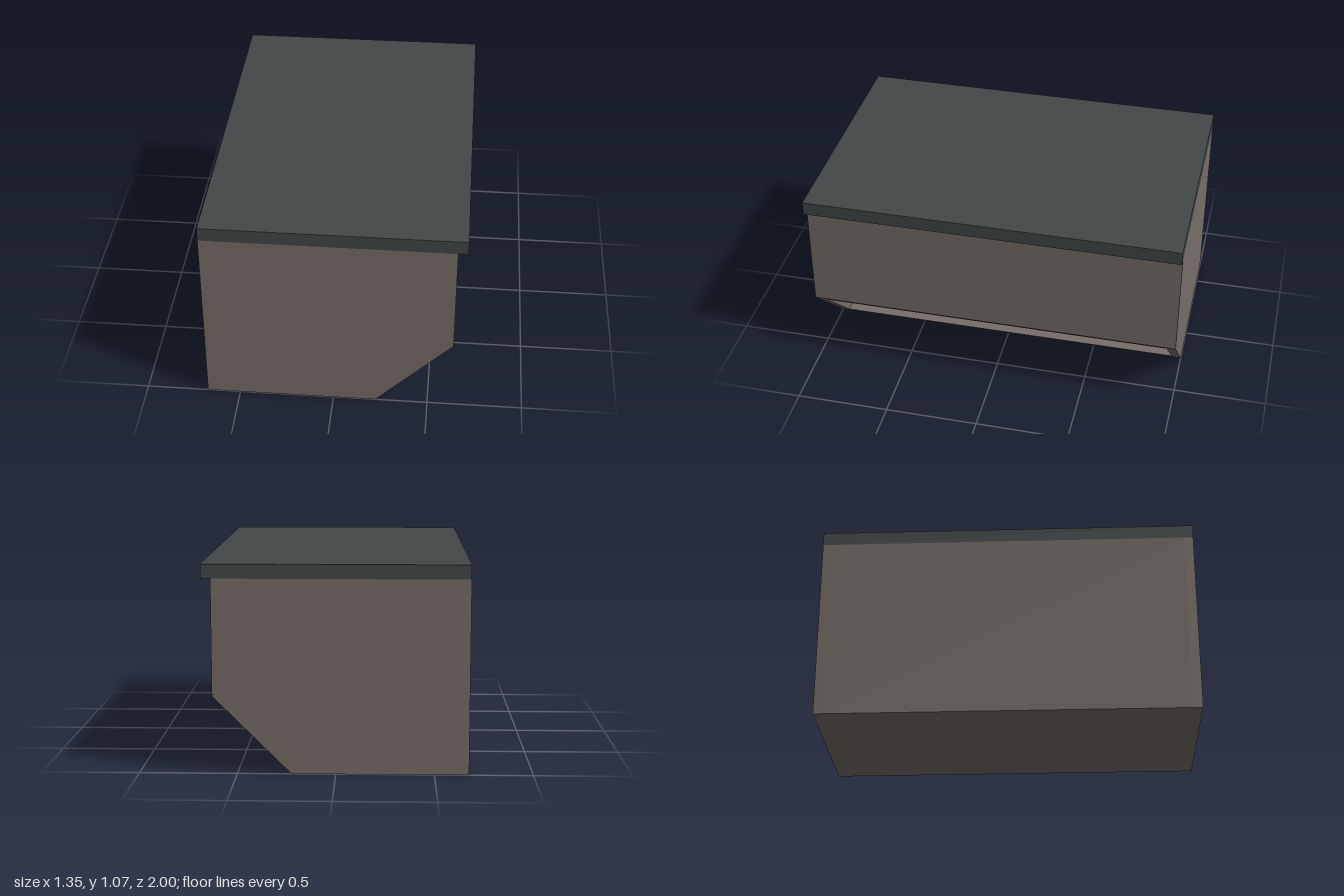
import * as THREE from 'three';

export function createModel() {
  const group = new THREE.Group();
  group.name = 'cabinet';

  const bodyMaterial = new THREE.MeshStandardMaterial({ color: 0x786e69 });
  bodyMaterial.name = 'warm grey';
  const lidMaterial = new THREE.MeshStandardMaterial({ color: 0x424848 });
  lidMaterial.name = 'dark slate';

  const top = 0.997, wall = 0.05;

  // Side outline; the right lower corner is cut at 45 degrees
  const outline = [[-0.675, 0], [0.225, 0], [0.625, 0.4], [0.625, top], [-0.675, top]];
  // Same outline with the slot cut into the slope
  const slot = [[0.26, 0.035], [0.07, 0.035], [0.07, 0.365], [0.59, 0.365]];
  const slotted = [...outline.slice(0, 2), ...slot, ...outline.slice(2)];

  // Extrudes an outline between two z positions
  function addSection(name, points, z0, z1) {
    const shape = new THREE.Shape(points.map(([x, y]) => new THREE.Vector2(x, y)));
    const geometry = new THREE.ExtrudeGeometry(shape, { depth: z1 - z0, bevelEnabled: false });
    const mesh = new THREE.Mesh(geometry, bodyMaterial);
    mesh.position.z = z0;
    mesh.name = name;
    group.add(mesh);
  }

  // Body: solid end walls with the slotted section between them
  addSection('frontWall', outline, 1 - wall, 1);
  addSection('slottedBody', slotted, -1 + wall, 1 - wall);
  addSection('backWall', outline, -1, -1 + wall);

  // Lid overhanging the right side
  const lidHeight = 1.07 - top;
  const lid = new THREE.Mesh(new THREE.BoxGeometry(1.35, lidHeight, 2), lidMaterial);
  lid.position.y = top + lidHeight / 2;
  lid.name = 'lid';
  group.add(lid);

  return group;
}
